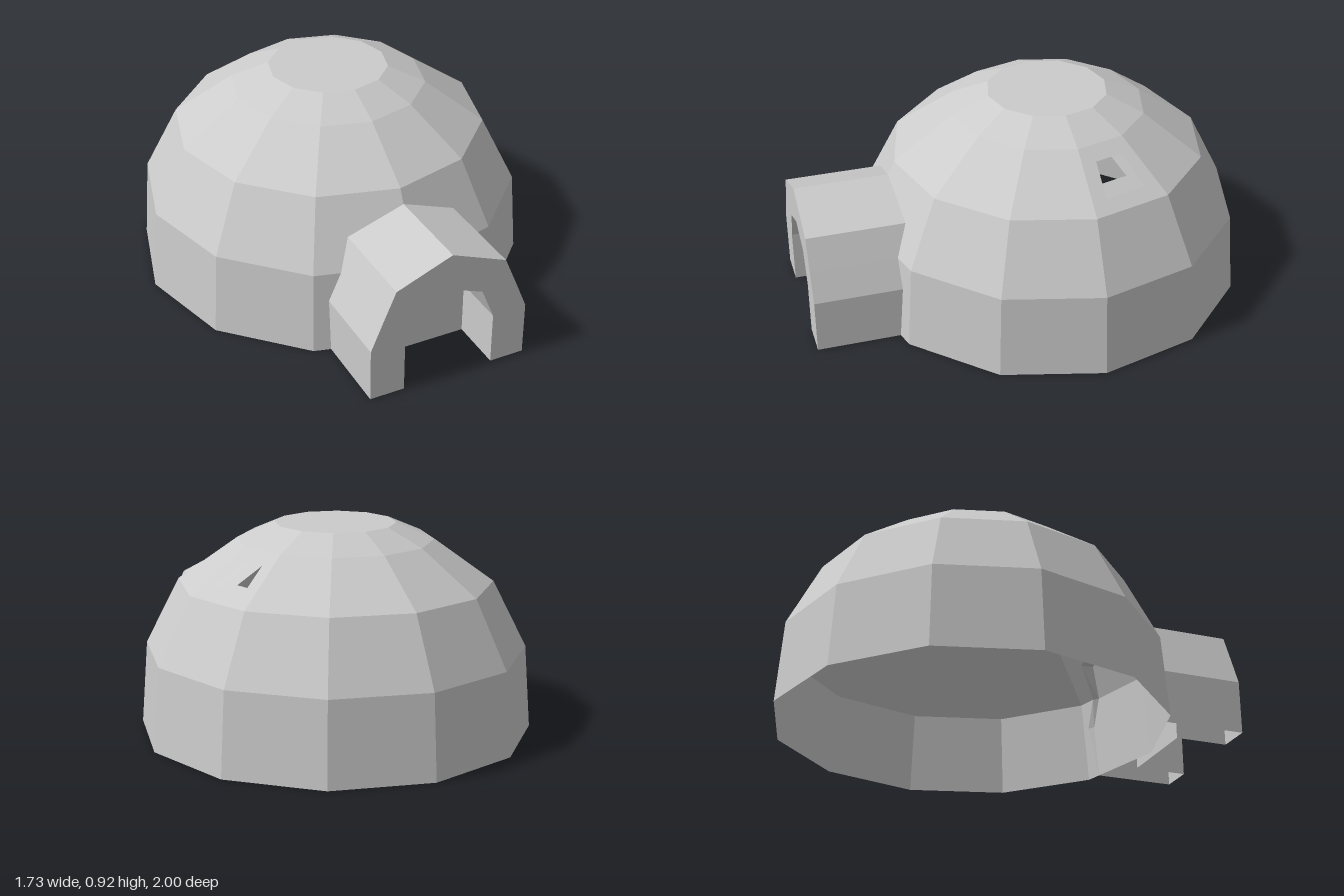
import * as THREE from 'three';
import { mergeGeometries } from 'three/addons/utils/BufferGeometryUtils.js';

const CENTRE_Z = -0.134;
const SLOPE = Math.tan(Math.PI / 12);

// Dome profiles as [radius, height], twelve sides each
const OUTER = [[0.866, 0], [0.838, 0.368], [0.69, 0.66], [0.43, 0.845], [0.265, 0.917]];
const INNER = [[0.866, 0], [0.82, 0.365], [0.6, 0.65], [0.34, 0.81], [0.22, 0.84]];

// Half outlines as [x, y], from the ground to the ridge
const ARCH = [[0.36, 0], [0.36, 0.24], [0.307, 0.367], [0.25, 0.5], [0, 0.6]];
const RECESS = [[0.39, 0], [0.385, 0.24], [0.325, 0.365], [0.255, 0.5], [0, 0.6]];
const DOOR = [[0.205, 0], [0.205, 0.235], [0.147, 0.375], [0, 0.433]];
const DOOR_BACK_Z = 0.76;

const material = new THREE.MeshStandardMaterial({
  color: 0xcccccc, flatShading: true, side: THREE.DoubleSide,
});

function radiusAt(profile, y) {
  for (let i = 1; i < profile.length; i++) {
    const [r0, y0] = profile[i - 1], [r1, y1] = profile[i];
    if (y <= y1) return r0 + (r1 - r0) * (y - y0) / (y1 - y0);
  }
  return profile[profile.length - 1][0];
}

// Distance of the dome wall from its axis, u being the sideways offset from a corner
const depthAt = (profile, u, y) => radiusAt(profile, y) - Math.abs(u) * SLOPE;

const toPoints = (list) => list.map(([x, y]) => new THREE.Vector2(x, y));

// One flat wall panel, drawn in (sideways, height) and laid on the dome
function panel(profile, points, angle, hole, side = 1) {
  const shape = new THREE.Shape(toPoints(points.map(([u, y]) => [u * side, y])));
  if (hole) shape.holes.push(new THREE.Path(toPoints(hole)));
  const geometry = new THREE.ShapeGeometry(shape);
  const p = geometry.attributes.position;
  for (let i = 0; i < p.count; i++) p.setZ(i, depthAt(profile, p.getX(i), p.getY(i)));
  return geometry.rotateY(angle);
}

// A band of quads between two rows of 3D points
function strip(a, b) {
  const v = [];
  for (let i = 0; i < a.length - 1; i++) {
    v.push(...a[i], ...b[i], ...b[i + 1], ...a[i], ...b[i + 1], ...a[i + 1]);
  }
  const geometry = new THREE.BufferGeometry();
  geometry.setAttribute('position', new THREE.Float32BufferAttribute(v, 3));
  geometry.computeVertexNormals();
  return geometry;
}

function addMesh(group, name, geometry) {
  const mesh = new THREE.Mesh(geometry, material);
  mesh.name = name;
  group.add(mesh);
}

// Both halves of an outline, from one foot to the other
const mirrored = (half) => [...half, ...half.slice(0, -1).reverse().map(([x, y]) => [-x, y])];

// Window corners follow the radius, so they narrow with the wall
const windowCorners = (profile) => [
  [0.066, 0.7], [0.4 * radiusAt(profile, 0.7), 0.7],
  [0.38 * radiusAt(profile, 0.8), 0.8], [0.066, 0.8],
];

function domeShell(profile, hasRecess) {
  const parts = [];
  for (let k = 0; k < 12; k++) {
    for (let i = 1; i < profile.length; i++) {
      if (hasRecess && i < 3 && (k === 0 || k === 11)) continue;
      const [r0, y0] = profile[i - 1], [r1, y1] = profile[i];
      const hole = k === 3 && i === 3 ? windowCorners(profile) : null;
      parts.push(panel(profile, [[0, y0], [r0 / 2, y0], [r1 / 2, y1], [0, y1]], k * Math.PI / 6, hole));
    }
  }
  if (hasRecess) {
    // Front panels left around the recess
    const [[r0, y0], [r1, y1], [r2, y2]] = profile;
    const [foot, hip, bend, shoulder, ridge] = RECESS;
    for (const side of [1, -1]) {
      parts.push(panel(profile, [foot, [r0 / 2, y0], [r1 / 2, y1], bend, hip], 0, null, side));
      parts.push(panel(profile, [bend, [r1 / 2, y1], [r2 / 2, y2], [0, y2], ridge, shoulder], 0, null, side));
    }
  }
  // Flat top
  const [rTop, yTop] = profile[profile.length - 1];
  parts.push(new THREE.CircleGeometry(rTop, 12).rotateX(-Math.PI / 2).translate(0, yTop, 0));
  return mergeGeometries(parts);
}

export function createModel() {
  const model = new THREE.Group();
  model.name = 'igloo';

  // Dome walls
  const dome = new THREE.Group();
  dome.name = 'dome';
  dome.position.z = CENTRE_Z;
  model.add(dome);
  addMesh(dome, 'outerWall', domeShell(OUTER, false));
  addMesh(dome, 'innerWall', domeShell(INNER, true));

  // Doorway recess on the inside
  const arch = mirrored(ARCH), door = mirrored(DOOR);
  const onDome = (profile, line) => line.map(([x, y]) => [x, y, depthAt(profile, x, y)]);
  addMesh(dome, 'doorwayRecess', strip(onDome(OUTER, arch), onDome(INNER, mirrored(RECESS))));

  // Entrance tunnel, running from the dome wall to the front
  const tunnel = new THREE.Group();
  tunnel.name = 'entranceTunnel';
  model.add(tunnel);
  const atZ = (line, z) => line.map(([x, y]) => [x, y, z]);
  const atWall = arch.map(([x, y]) => [x, y, depthAt(OUTER, x, y) + CENTRE_Z]);
  addMesh(tunnel, 'tunnelOutside', strip(atWall, atZ(arch, 1)));
  addMesh(tunnel, 'tunnelInside', strip(atZ(door, 1), atZ(door, DOOR_BACK_Z)));
  const face = new THREE.Shape(toPoints([...arch, ...door.slice().reverse()]));
  addMesh(tunnel, 'tunnelFront', new THREE.ShapeGeometry(face).translate(0, 0, 1));

  // Flat wall closing the doorway
  const back = new THREE.Shape(toPoints(door));
  addMesh(tunnel, 'doorwayBack', new THREE.ShapeGeometry(back).translate(0, 0, DOOR_BACK_Z));

  return model;
}
